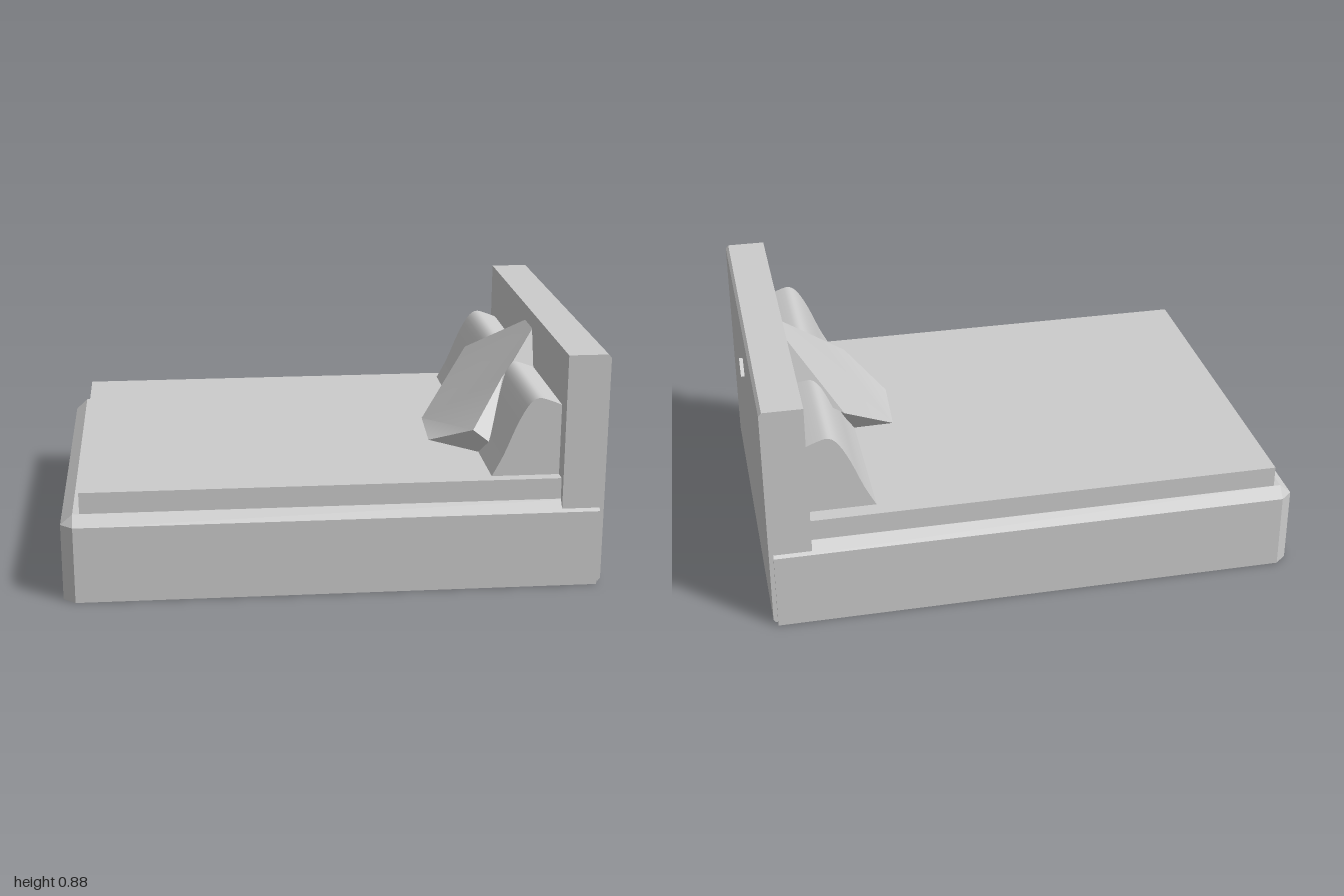
import * as THREE from 'three';
import { toCreasedNormals } from 'three/addons/utils/BufferGeometryUtils.js';

const material = new THREE.MeshStandardMaterial({ color: 0xcccccc });

function add(parent, name, geometry) {
  const mesh = new THREE.Mesh(geometry, material);
  mesh.name = name;
  parent.add(mesh);
  return mesh;
}

// Closed solid through rings of equal length, counter-clockwise seen from the last ring
function loft(rings, crease) {
  const pos = [];
  const tri = (a, b, c) => pos.push(...a, ...b, ...c);
  const n = rings[0].length;
  for (let r = 0; r + 1 < rings.length; r++) {
    const lo = rings[r], hi = rings[r + 1];
    for (let i = 0; i < n; i++) {
      const j = (i + 1) % n;
      tri(hi[j], hi[i], lo[i]);
      tri(hi[j], lo[i], lo[j]);
    }
  }
  const first = rings[0], last = rings[rings.length - 1];
  for (let i = 1; i + 1 < n; i++) {
    tri(first[0], first[i + 1], first[i]);
    tri(last[0], last[i], last[i + 1]);
  }
  const geometry = new THREE.BufferGeometry();
  geometry.setAttribute('position', new THREE.Float32BufferAttribute(pos, 3));
  return toCreasedNormals(geometry, crease);
}

// Side profile in x and y, extruded along z between two ends
function sideProfile(points, z0, z1) {
  const shape = new THREE.Shape(points.map(([x, y]) => new THREE.Vector2(x, y)));
  return new THREE.ExtrudeGeometry(shape, { depth: z1 - z0, bevelEnabled: false }).translate(0, 0, z0);
}

export function createModel() {
  const bed = new THREE.Group();
  bed.name = 'bed';

  // Base with chamfered top edges and foot corners
  const outline = [[-1, -0.7], [-1, 0.7], [-0.955, 0.74], [0.97, 0.74], [0.97, -0.74], [-0.955, -0.74]];
  const inset = outline.map(([x, z]) => [Math.max(x, -0.955), 0.33, Math.sign(z) * 0.703]);
  const at = (y) => outline.map(([x, z]) => [x, y, z]);
  add(bed, 'base', loft([at(0), at(0.29), inset], 0.3));

  // Mattress
  add(bed, 'mattress', new THREE.BoxGeometry(1.79, 0.11, 1.404)).position.set(-0.035, 0.355, 0);

  // Headboard with a thin back panel reaching down behind the base
  add(bed, 'headboard', sideProfile([
    [0.83, 0.3], [0.965, 0.3], [0.965, 0.01], [0.978, 0.01], [0.986, 0.02],
    [0.986, 0.872], [0.975, 0.885], [0.83, 0.885],
  ], -0.73, 0.73));

  // Long pillow slumped against the headboard
  const front = new THREE.SplineCurve([[0.573, 0.4], [0.62, 0.49], [0.665, 0.6], [0.705, 0.675], [0.74, 0.705], [0.78, 0.698], [0.85, 0.67]]
    .map(([x, y]) => new THREE.Vector2(x, y))).getPoints(18).map((p) => [p.x, p.y]);
  add(bed, 'longPillow', toCreasedNormals(sideProfile([[0.85, 0.4], ...front], -0.64, 0.657), 0.6));

  // Diamond cushion leaning on the long pillow: back ring, then front ring
  add(bed, 'cushion', loft([
    [
      [0.64, 0.4, -0.06], [0.64, 0.4, 0.05], [0.585, 0.4, 0.38], [0.61, 0.465, 0.43],
      [0.725, 0.68, 0.185], [0.85, 0.68, 0.15], [0.85, 0.68, -0.145], [0.7, 0.65, -0.22],
    ],
    [
      [0.425, 0.41, -0.06], [0.405, 0.405, 0.05], [0.41, 0.41, 0.22], [0.55, 0.51, 0.415],
      [0.69, 0.672, 0.25], [0.84, 0.832, 0.1], [0.84, 0.832, -0.01], [0.645, 0.63, -0.335],
    ],
  ], 0.45));

  // Small tip showing through the back of the headboard
  const tip = new THREE.Shape([[-0.03, 0.715], [-0.01, 0.66], [0.02, 0.66]].map(([u, y]) => new THREE.Vector2(u, y)));
  add(bed, 'cushionTip', new THREE.ExtrudeGeometry(tip, { depth: 0.03, bevelEnabled: false })
    .rotateY(Math.PI / 2).translate(0.97, 0, 0));

  return bed;
}
